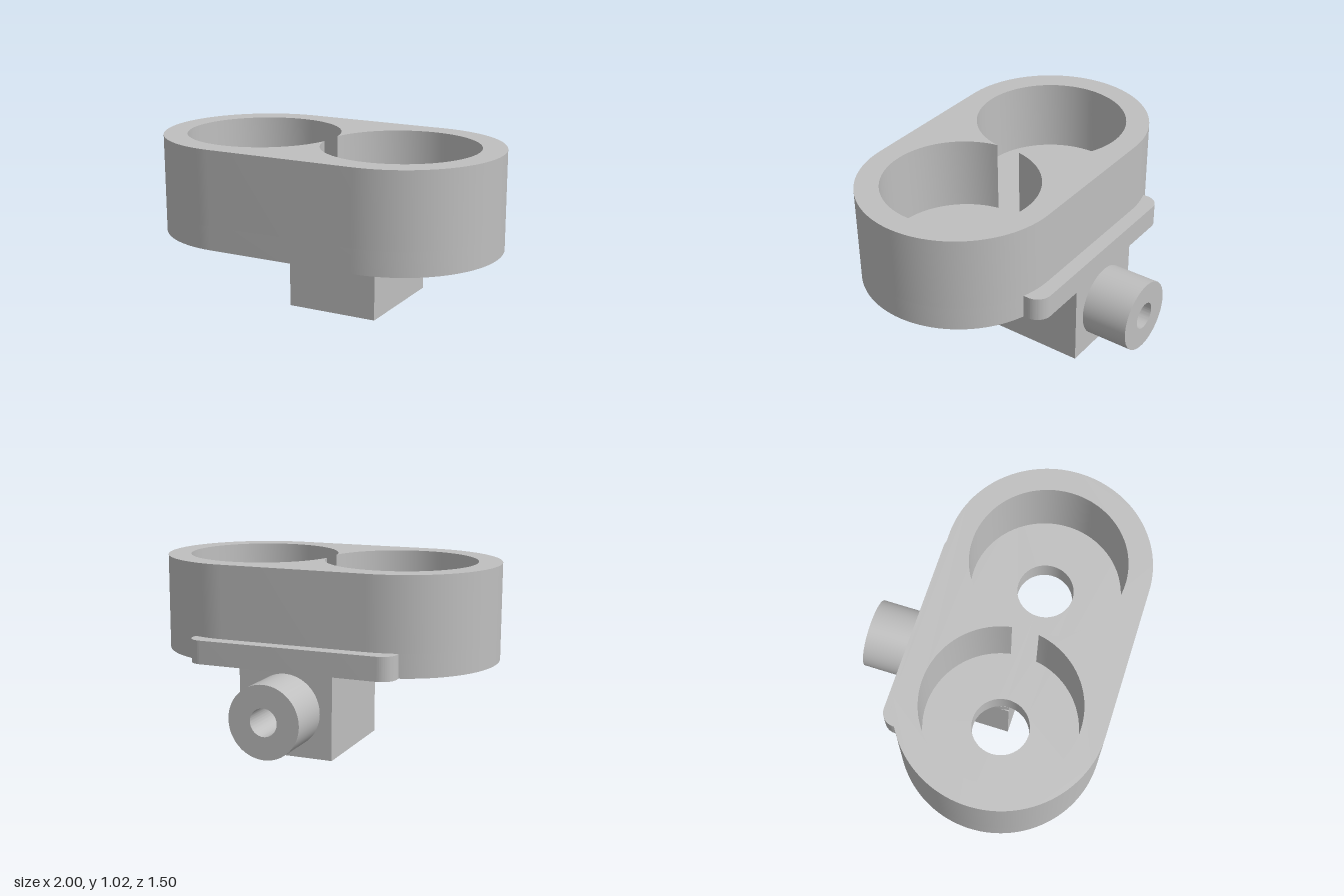
import * as THREE from 'three';
import { toCreasedNormals } from 'three/addons/utils/BufferGeometryUtils.js';

const BASE = 0.465, FLOOR = 0.6, TOP = 1.02; // underside, cup floor and rim heights
const CX = 0.43, CZ = 0.18;                  // cup centres at x = +-CX, z = CZ
const BACK = -0.475, HALF = 0.275;           // block back face and half width

export function createModel() {
  const group = new THREE.Group();
  const grey = new THREE.MeshStandardMaterial({ color: 0xbfbfbf });
  grey.name = 'grey';

  const add = (name, geometry) => {
    const mesh = new THREE.Mesh(geometry, grey);
    mesh.name = name;
    group.add(mesh);
  };
  const extrude = (shape, depth) => toCreasedNormals(
    new THREE.ExtrudeGeometry(shape, { depth, bevelEnabled: false, curveSegments: 40 }), 0.6);
  // plan shapes are drawn in (x, -z) and raised from y0 to y1
  const addPlan = (name, shape, y0, y1) =>
    add(name, extrude(shape, y1 - y0).rotateX(-Math.PI / 2).translate(0, y0, 0));
  // front shapes are drawn in (x, y) and run from z0 to z1
  const addFront = (name, shape, z0, z1) =>
    add(name, extrude(shape, z1 - z0).translate(0, 0, z0));
  const polygon = (points) => new THREE.Shape(points.map(([x, y]) => new THREE.Vector2(x, y)));
  const circle = (x, y, r) => new THREE.Path().absarc(x, y, r, 0, Math.PI * 2, false);

  const stadium = () => {
    const s = new THREE.Shape();
    s.absarc(CX, -CZ, 0.57, -Math.PI / 2, Math.PI / 2, false);
    s.absarc(-CX, -CZ, 0.57, Math.PI / 2, Math.PI * 1.5, false);
    return s;
  };

  // cup floor with two drain holes
  const floor = stadium();
  for (const side of [-1, 1]) floor.holes.push(circle(side * CX, -CZ, 0.163));
  addPlan('cupFloor', floor, BASE, FLOOR);

  // cup wall around two bores that open into each other
  const wall = stadium();
  const gap = Math.atan2(0.075, CX), bore = Math.hypot(0.075, CX);
  const bores = new THREE.Path();
  bores.absarc(CX, -CZ, bore, -Math.PI + gap, Math.PI - gap, false);
  bores.absarc(-CX, -CZ, bore, gap, Math.PI * 2 - gap, false);
  wall.holes.push(bores);
  addPlan('cupWall', wall, FLOOR, TOP);

  // rear ledge with rounded back corners
  const ledge = new THREE.Shape();
  const r = 0.085, w = 0.61;
  ledge.moveTo(-w, 0.35);
  ledge.lineTo(w, 0.35);
  ledge.absarc(w - r, -BACK - r, r, 0, Math.PI / 2, false);
  ledge.absarc(r - w, -BACK - r, r, Math.PI / 2, Math.PI, false);
  addPlan('rearLedge', ledge, BASE, FLOOR);

  // mounting block: bored back, slotted middle, solid front
  const slotBack = -0.245, slotFront = -0.12, slotW = 0.125, slotTop = 0.38;
  const boltY = 0.255, boltR = 0.078;
  const back = polygon([[-HALF, 0], [HALF, 0], [HALF, BASE], [-HALF, BASE]]);
  back.holes.push(circle(0, boltY, boltR));
  addFront('blockBack', back, BACK, slotBack);
  addFront('blockSlot', polygon([
    [-HALF, 0], [-slotW, 0], [-slotW, slotTop], [slotW, slotTop],
    [slotW, 0], [HALF, 0], [HALF, BASE], [-HALF, BASE],
  ]), slotBack, slotFront);
  const step = 0.415;
  addFront('blockFront', polygon([[-HALF, 0], [HALF, 0], [HALF, step], [-HALF, step]]), slotFront, CZ);
  // top of the block front, nicked where the drain holes pass
  addPlan('blockFrontTop', polygon([
    [-0.267, -CZ], [0.267, -CZ], [HALF, -0.13], [HALF, -slotFront],
    [-HALF, -slotFront], [-HALF, -0.13],
  ]), step, BASE);

  // bored spigot on the back
  const spigot = new THREE.Shape().absarc(0, boltY, 0.205, 0, Math.PI * 2, false);
  spigot.holes.push(circle(0, boltY, boltR));
  addFront('spigot', spigot, -0.75, BACK);

  return group;
}
